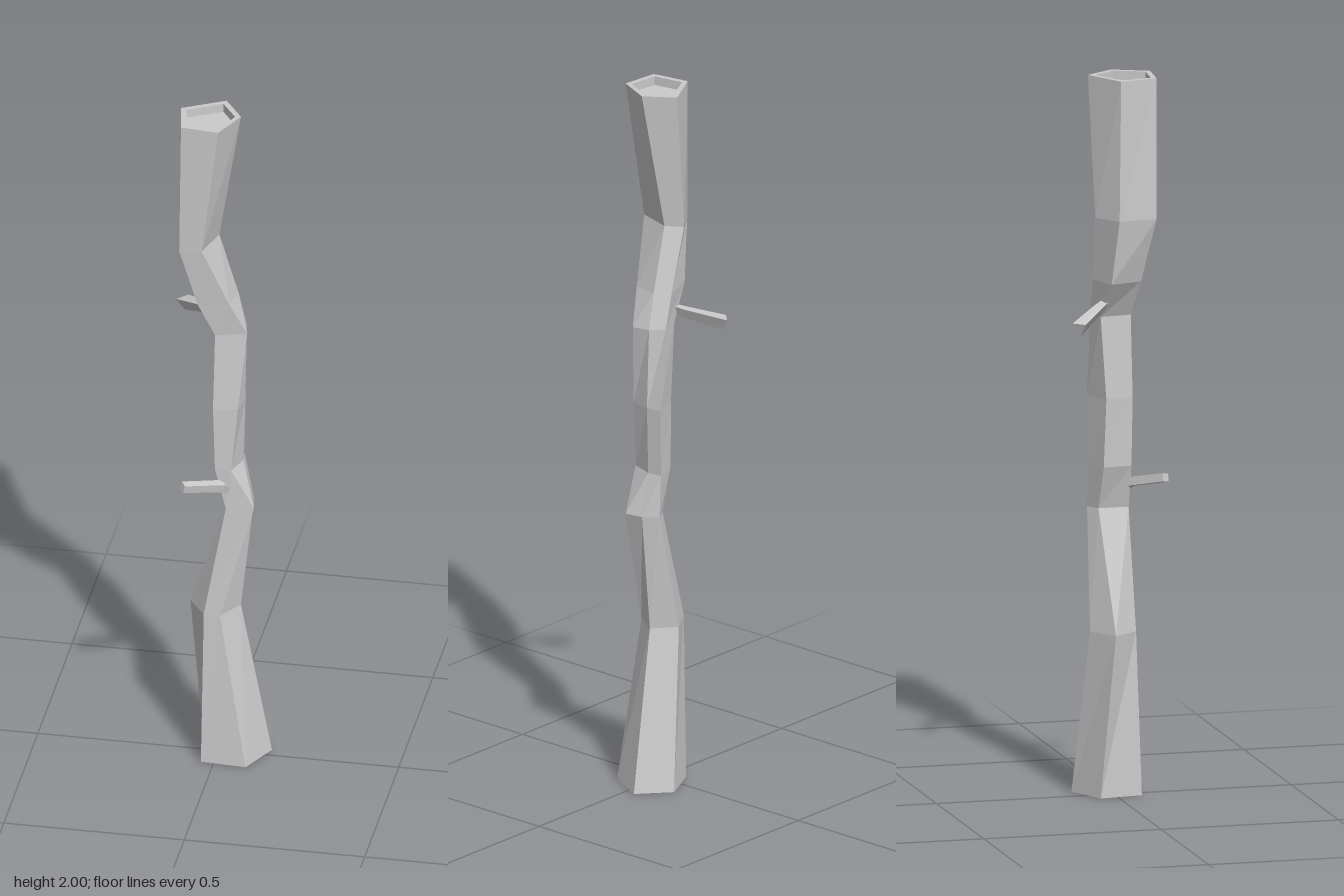
import * as THREE from 'three';

const material = new THREE.MeshStandardMaterial({ color: 0xcccccc, flatShading: true });

// Skin a stack of rings (arrays of Vector3, counterclockwise seen from the end)
function loft(rings, name) {
  const n = rings[0].length, index = [];
  for (let i = 0; i < rings.length - 1; i++) {
    for (let j = 0; j < n; j++) {
      const k = (j + 1) % n;
      const a = i * n + j, b = i * n + k, c = a + n, d = b + n;
      index.push(a, b, d, a, d, c);
    }
  }
  const geometry = new THREE.BufferGeometry().setFromPoints(rings.flat());
  geometry.setIndex(index);
  geometry.computeVertexNormals();
  const mesh = new THREE.Mesh(geometry, material);
  mesh.name = name;
  return mesh;
}

// Copy of a ring shrunk about its centre and moved vertically
function inset(ring, scale, dy) {
  const centre = ring.reduce((s, p) => s.add(p), new THREE.Vector3()).divideScalar(ring.length);
  return ring.map((p) => p.clone().sub(centre).multiplyScalar(scale).add(centre).setY(p.y + dy));
}

// Twig: polygonal rings along a path, closed at both ends
function twig(name, path, radii, sides, turn) {
  const rings = path.map((p, i) => {
    const from = path[Math.max(i - 1, 0)], to = path[Math.min(i + 1, path.length - 1)];
    const dir = to.clone().sub(from).normalize();
    const u = new THREE.Vector3(0, 1, 0).cross(dir).normalize();
    const v = dir.clone().cross(u);
    return Array.from({ length: sides }, (_, j) => {
      const a = turn + (j / sides) * Math.PI * 2;
      return p.clone().addScaledVector(u, radii[i] * Math.cos(a)).addScaledVector(v, radii[i] * Math.sin(a));
    });
  });
  const last = path.length - 1;
  return loft([rings[0].map(() => path[0]), ...rings, rings[last].map(() => path[last])], name);
}

export function createModel() {
  const group = new THREE.Group();
  group.name = 'crookedBranch';

  // Five-sided trunk sections: height, then x,z of front-right, right, back, left, front-left
  const sections = [
    [0.0, 0.09, 0.078, 0.143, -0.03, 0.06, -0.103, -0.05, -0.05, -0.035, 0.07],
    [0.455, 0.015, 0.055, 0.06, -0.015, 0.0, -0.067, -0.08, -0.015, -0.03, 0.055],
    [0.79, 0.105, 0.033, 0.096, -0.018, 0.068, -0.057, 0.03, -0.035, 0.03, 0.05],
    [0.91, 0.045, 0.05, 0.067, -0.015, 0.062, -0.057, -0.008, -0.03, 0.0, 0.05],
    [1.1, 0.062, 0.042, 0.072, -0.015, 0.066, -0.058, -0.016, -0.025, -0.005, 0.052],
    [1.33, 0.085, 0.025, 0.075, -0.025, 0.04, -0.055, -0.012, -0.04, 0.0, 0.048],
    [1.43, 0.04, 0.05, 0.052, -0.022, 0.015, -0.055, -0.072, -0.025, -0.045, 0.065],
    [1.61, -0.03, 0.085, 0.0, -0.015, -0.03, -0.06, -0.1, -0.01, -0.09, 0.097],
    [2.0, 0.02, 0.108, 0.065, 0.01, 0.01, -0.07, -0.105, -0.007, -0.085, 0.098],
  ];
  const rings = sections.map(([y, ...xz]) =>
    Array.from({ length: 5 }, (_, j) => new THREE.Vector3(xz[j * 2], y, xz[j * 2 + 1])));

  // Trunk with a rim and a shallow recess at each cut end
  const foot = rings[0], head = rings[rings.length - 1];
  group.add(loft([
    inset(foot, 0, 0.025), inset(foot, 0.8, 0.025), inset(foot, 0.8, 0),
    ...rings,
    inset(head, 0.81, 0), inset(head, 0.81, -0.025), inset(head, 0, -0.025),
  ], 'trunk'));

  // Two broken twigs
  const V = (x, y, z) => new THREE.Vector3(x, y, z);
  group.add(twig('lowerTwig',
    [V(0.045, 0.835, 0.03), V(0.02, 0.862, 0.055), V(-0.076, 0.888, 0.126)],
    [0.012, 0.017, 0.016], 4, 0.6));
  group.add(twig('upperTwig',
    [V(-0.015, 1.375, -0.02), V(-0.04, 1.36, -0.048), V(-0.122, 1.325, -0.128)],
    [0.012, 0.018, 0.024], 3, Math.PI / 6));

  return group;
}
